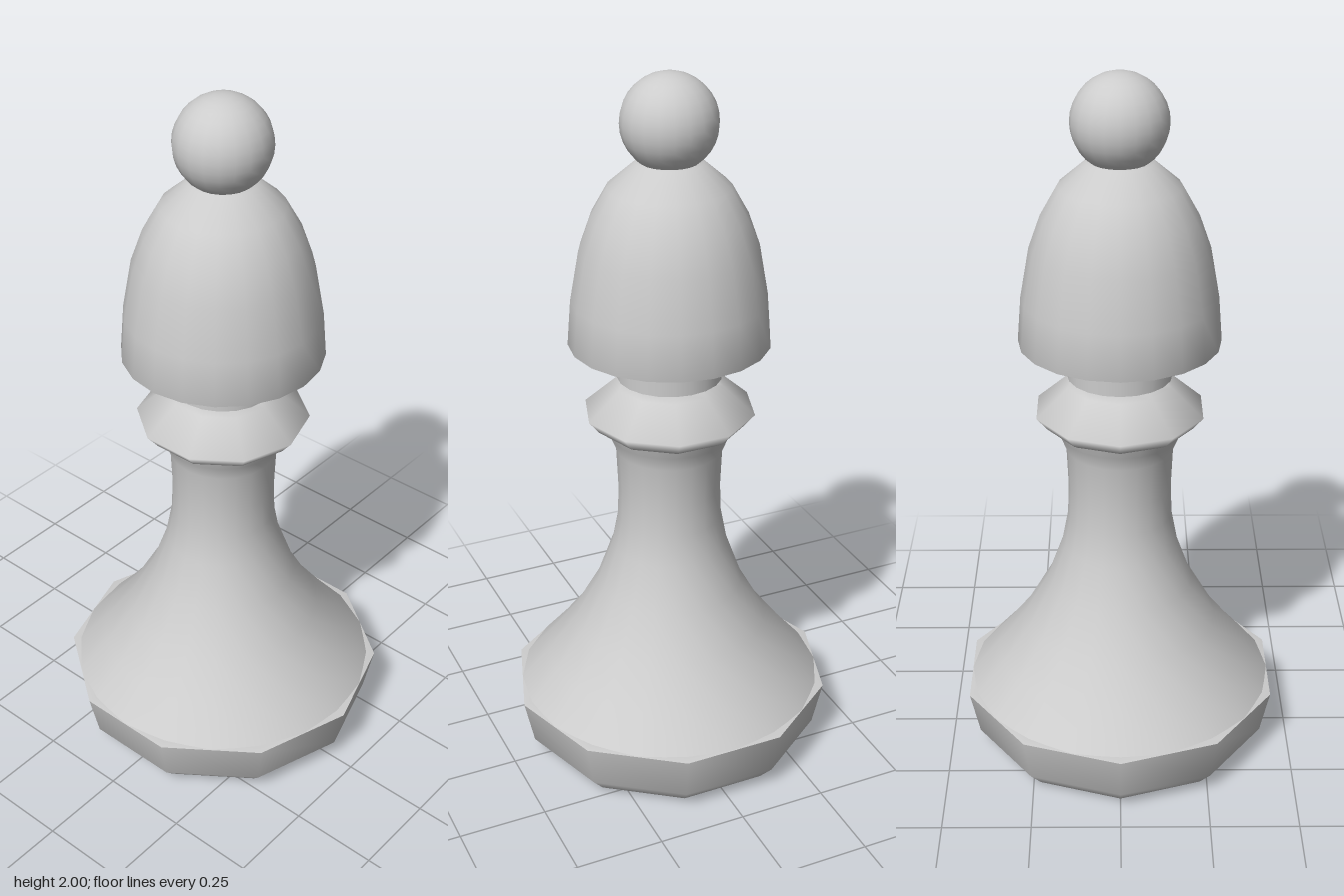
import * as THREE from 'three';

export function createModel() {
  const group = new THREE.Group();
  const stone = new THREE.MeshStandardMaterial({ color: 0xcccccc });
  stone.name = 'plain grey';

  const add = (name, geometry) => {
    const mesh = new THREE.Mesh(geometry, stone);
    mesh.name = name;
    group.add(mesh);
    return mesh;
  };
  // Turned part from [radius, height] pairs, bottom to top, first corner on the x axis
  const turn = (name, sides, profile) =>
    add(name, new THREE.LatheGeometry(
      profile.map(([r, y]) => new THREE.Vector2(r, y)), sides, Math.PI / 2));

  // Ten-sided foot with a chamfered lower edge, and its narrow ledge
  turn('base', 10, [[0, 0], [0.375, 0], [0.39, 0.01], [0.435, 0.06], [0.463, 0.19]]);
  turn('baseLedge', 10, [[0.463, 0.19], [0.42, 0.197], [0, 0.197]]);

  // Flared stem
  turn('stem', 20, [
    [0.44, 0.192], [0.36, 0.285], [0.28, 0.39], [0.21, 0.515], [0.165, 0.64],
    [0.148, 0.73], [0.145, 0.82], [0.15, 0.94], [0.168, 0.985], [0.18, 1.02],
  ]);

  // Ten-sided collar ring
  turn('collar', 10, [
    [0, 1.015], [0.195, 1.015], [0.21, 1.024], [0.24, 1.06],
    [0.15, 1.14], [0.125, 1.155], [0, 1.155],
  ]);

  // Short neck between collar and head
  const neck = add('neck', new THREE.CylinderGeometry(0.145, 0.145, 0.12, 20));
  neck.position.y = 1.22;

  // Domed head with a flat underside
  turn('head', 20, [
    [0, 1.262], [0.25, 1.262], [0.277, 1.264], [0.267, 1.39], [0.242, 1.53],
    [0.21, 1.62], [0.165, 1.7], [0.09, 1.765], [0, 1.775],
  ]);

  // Ball finial
  const ball = add('finial', new THREE.SphereGeometry(0.13, 20, 16));
  ball.position.y = 1.87;

  return group;
}
